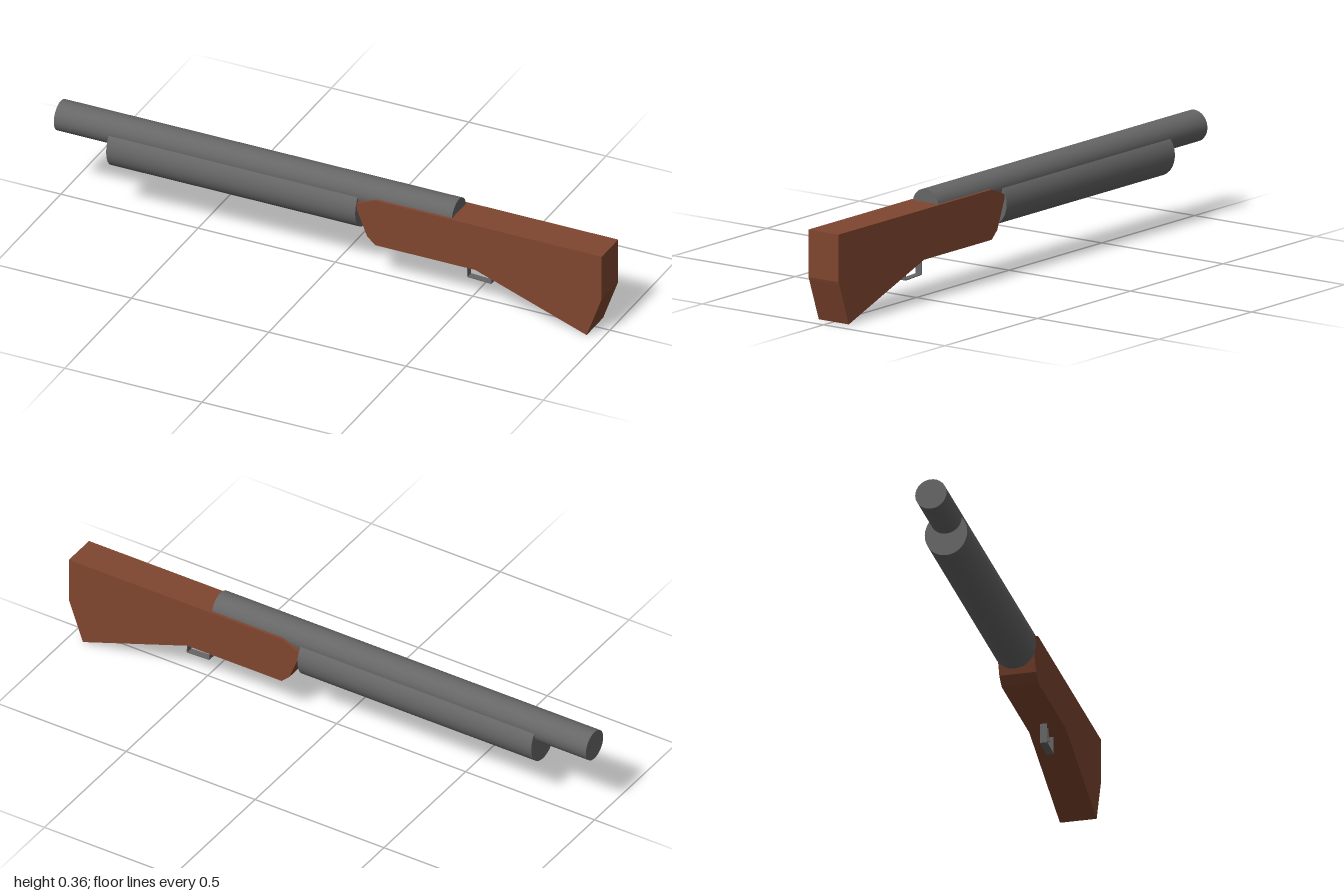
import * as THREE from 'three';

const metal = new THREE.MeshStandardMaterial({ color: 0x666666 });
const wood = new THREE.MeshStandardMaterial({ color: 0x80462f });

// Closed tube along x, optionally with an elliptical section
function tubeAlongX(name, x0, x1, y, ry, rz) {
  const geo = new THREE.CylinderGeometry(1, 1, x1 - x0, 32);
  geo.rotateZ(Math.PI / 2);
  geo.scale(1, ry, rz);
  const mesh = new THREE.Mesh(geo, metal);
  mesh.name = name;
  mesh.position.set((x0 + x1) / 2, y, 0);
  return mesh;
}

// Thin flat strip running between two points of the xy plane
function strip(name, [ax, ay], [bx, by], width) {
  const geo = new THREE.BoxGeometry(Math.hypot(bx - ax, by - ay), 0.003, width);
  const mesh = new THREE.Mesh(geo, metal);
  mesh.name = name;
  mesh.position.set((ax + bx) / 2, (ay + by) / 2, 0);
  mesh.rotation.z = Math.atan2(by - ay, bx - ax);
  return mesh;
}

export function createModel() {
  const model = new THREE.Group();

  // Barrel and the thicker sliding grip beneath it
  model.add(tubeAlongX('barrel', -1, 0.45, 0.303, 0.053, 0.053));
  model.add(tubeAlongX('foreGrip', -0.8, 0.107, 0.25, 0.078, 0.072));

  // Stock: side outline extruded across z
  const outline = [
    [0.107, 0.285], [0.107, 0.265], [0.145, 0.17], [0.175, 0.143], [0.54, 0.143],
    [0.945, 0], [0.997, 0.143], [1, 0.152], [1, 0.312], [0.175, 0.312],
  ].map(([x, y]) => new THREE.Vector2(x, y));
  const stockGeo = new THREE.ExtrudeGeometry(new THREE.Shape(outline), { depth: 0.124, bevelEnabled: false });
  stockGeo.translate(0, 0, -0.062);
  const stock = new THREE.Mesh(stockGeo, wood);
  stock.name = 'stock';
  model.add(stock);

  // Trigger guard and trigger
  const guard = new THREE.Group();
  guard.name = 'triggerGuard';
  const path = [[0.485, 0.148], [0.487, 0.077], [0.573, 0.073], [0.571, 0.14]];
  for (let i = 0; i < path.length - 1; i++) guard.add(strip('guardStrip', path[i], path[i + 1], 0.024));
  model.add(guard);
  model.add(strip('trigger', [0.521, 0.148], [0.535, 0.098], 0.014));

  return model;
}
